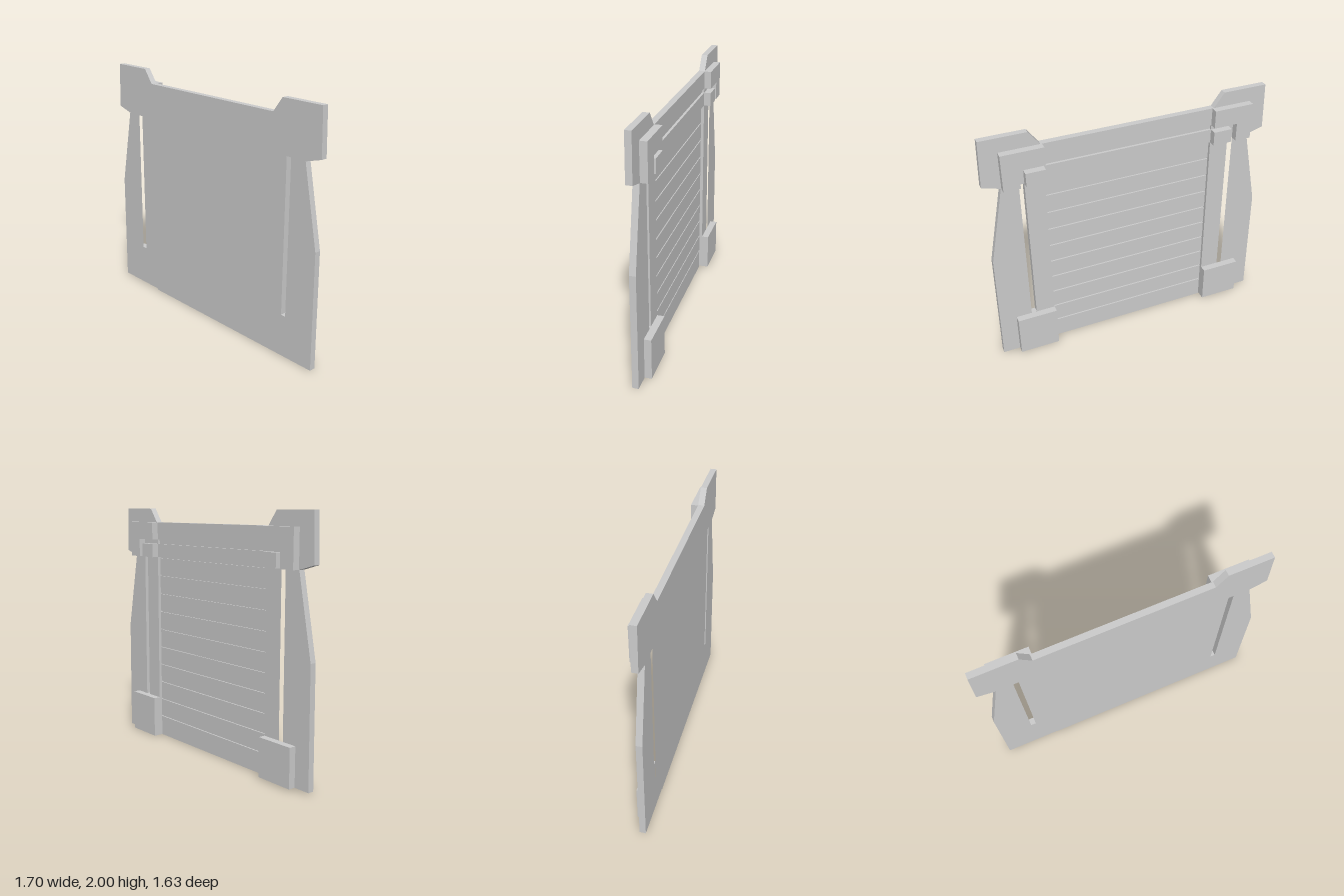
import * as THREE from 'three';

const material = new THREE.MeshStandardMaterial({ color: 0xcccccc, flatShading: true });

// Flat plate cut from an outline; t0..t1 is its depth measured toward the back
function plate(name, points, t0, t1, holes = []) {
  const toVectors = (list) => list.map(([x, y]) => new THREE.Vector2(x, y));
  const shape = new THREE.Shape(toVectors(points));
  holes.forEach((h) => shape.holes.push(new THREE.Path(toVectors(h))));
  const geometry = new THREE.ExtrudeGeometry(shape, { depth: t1 - t0, bevelEnabled: false });
  geometry.translate(0, 0, -t1);
  const mesh = new THREE.Mesh(geometry, material);
  mesh.name = name;
  return mesh;
}

const rect = (x0, x1, y0, y1) => [[x0, y0], [x1, y0], [x1, y1], [x0, y1]];

const FRONT = -0.025, BACK = 0.025, BLOCK = 0.082;
const INNER = 0.683;           // half width of the slatted centre
const SLOT = [0.837, 0.879];   // slot between stile and wing

export function createModel() {
  const model = new THREE.Group();
  model.name = 'slattedPanel';
  const panel = new THREE.Group();
  panel.name = 'panel';
  panel.rotation.y = -0.763;
  model.add(panel);

  // Side frames with slots, and the raised corner blocks
  for (const side of [1, -1]) {
    const label = side > 0 ? 'left' : 'right';
    const flip = (points) => points.map(([x, y]) => [x * side, y]);
    const bottom = side > 0 ? 0 : 0.012;
    const blockTop = side > 0 ? 0.345 : 0.325;

    const outline = [
      [INNER, bottom], [1.145, bottom], [1.138, 0.95], [1.012, 1.59], [1.152, 1.63],
      [1.14, 2], [0.78, 2], [0.695, 1.886], [INNER, 1.886],
    ];
    const slot = rect(SLOT[0], SLOT[1], blockTop, 1.59);
    panel.add(plate(label + 'SideFrame', flip(outline), FRONT, BACK, [flip(slot)]));

    panel.add(plate(label + 'LowerBlock', flip(rect(INNER, 1.008, bottom, blockTop)), BACK, BLOCK));

    // Upper block, divided by an angled channel
    const hook = [
      [INNER, 1.74], [INNER, 1.886], [1.008, 1.886], [1.008, 1.59], [SLOT[1], 1.59], [SLOT[1], 1.74],
    ];
    panel.add(plate(label + 'UpperBlock', flip(hook), BACK, BLOCK));
    panel.add(plate(label + 'UpperInnerBlock', flip(rect(INNER, SLOT[0], 1.59, 1.703)), BACK, BLOCK));
  }

  // Centre: backing sheet, header split by a channel, recessed slats
  panel.add(plate('backing', rect(-INNER, INNER, 0, 1.886), FRONT, -0.012));
  panel.add(plate('channelFloor', rect(-INNER, INNER, 1.703, 1.74), -0.012, 0.005));
  panel.add(plate('header', rect(-INNER, INNER, 1.74, 1.886), -0.012, BACK));
  panel.add(plate('headerRail', rect(-INNER, INNER, 1.59, 1.703), -0.012, BACK));

  const count = 10, pitch = 0.157, gap = 0.011;
  for (let i = 0; i < count; i++) {
    const y0 = i === 0 ? 0 : 0.175 + (i - 1) * pitch + gap / 2;
    const y1 = 0.175 + i * pitch - gap / 2;
    panel.add(plate('slat' + (i + 1), rect(-INNER, INNER, y0, Math.min(y1, 1.59 - gap)), -0.012, 0));
  }
  return model;
}
